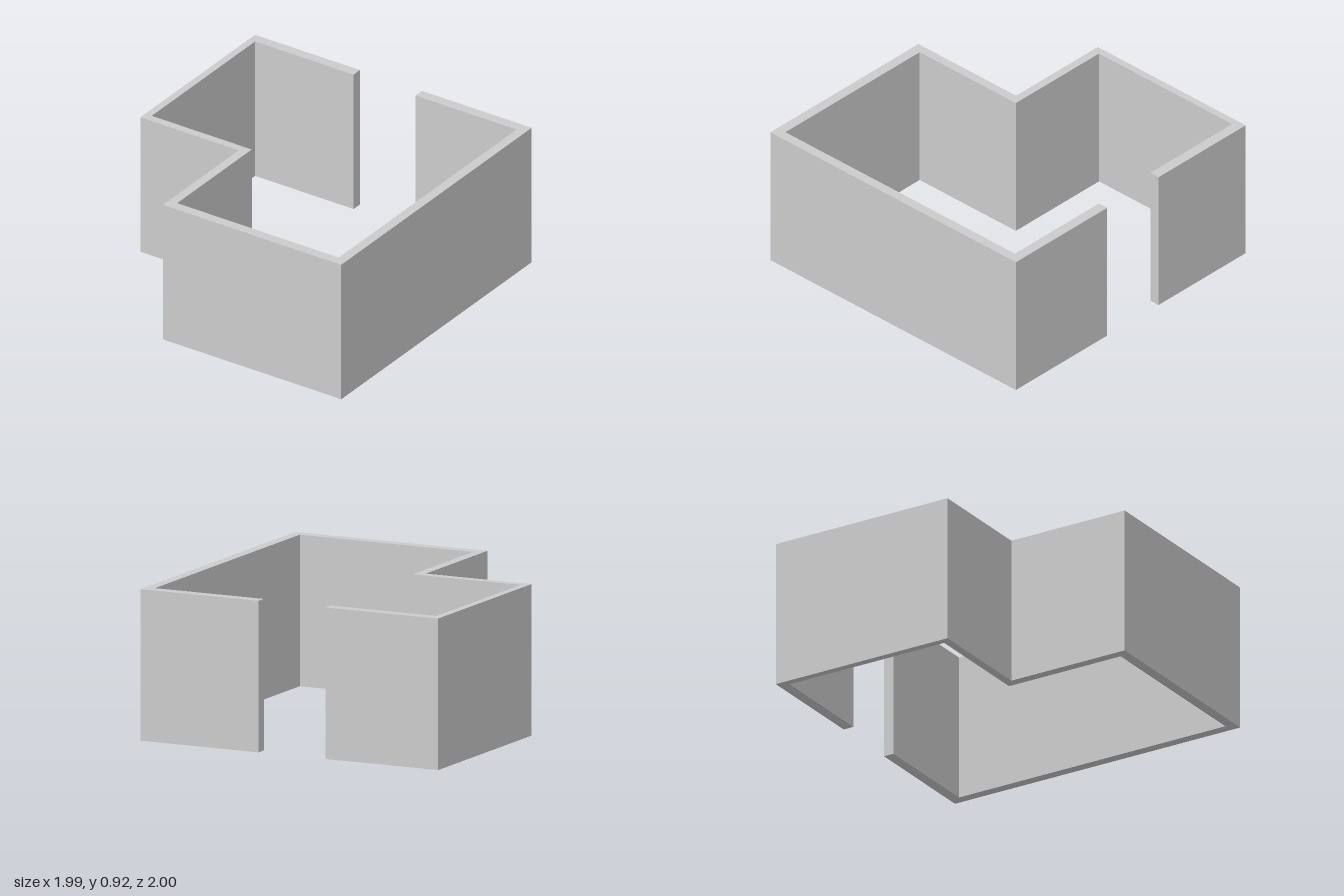
import * as THREE from 'three';

const HEIGHT = 0.915;

// Floor plan of the walls as [x, z]: outer face first, then back along the inner face.
const PLAN = [
  // outer face, from the right side of the doorway round to its left side
  [-0.24, -1], [-0.993, -1], [-0.993, 0.205], [-0.287, 0.205],
  [-0.287, 1], [0.993, 1], [0.993, -1], [0.205, -1],
  // inner face, returning
  [0.205, -0.933], [0.931, -0.933], [0.931, 0.935], [-0.229, 0.935],
  [-0.229, 0.152], [-0.947, 0.152], [-0.947, -0.933], [-0.24, -0.933],
];

export function createModel() {
  const group = new THREE.Group();
  group.name = 'roomShell';

  // One continuous wall, open at the doorway, extruded up from the plan
  const shape = new THREE.Shape(PLAN.map(([x, z]) => new THREE.Vector2(x, -z)));
  const geometry = new THREE.ExtrudeGeometry(shape, { depth: HEIGHT, bevelEnabled: false });
  geometry.rotateX(-Math.PI / 2);

  const walls = new THREE.Mesh(geometry, new THREE.MeshStandardMaterial({ color: 0xcccccc }));
  walls.name = 'walls';
  group.add(walls);
  return group;
}
